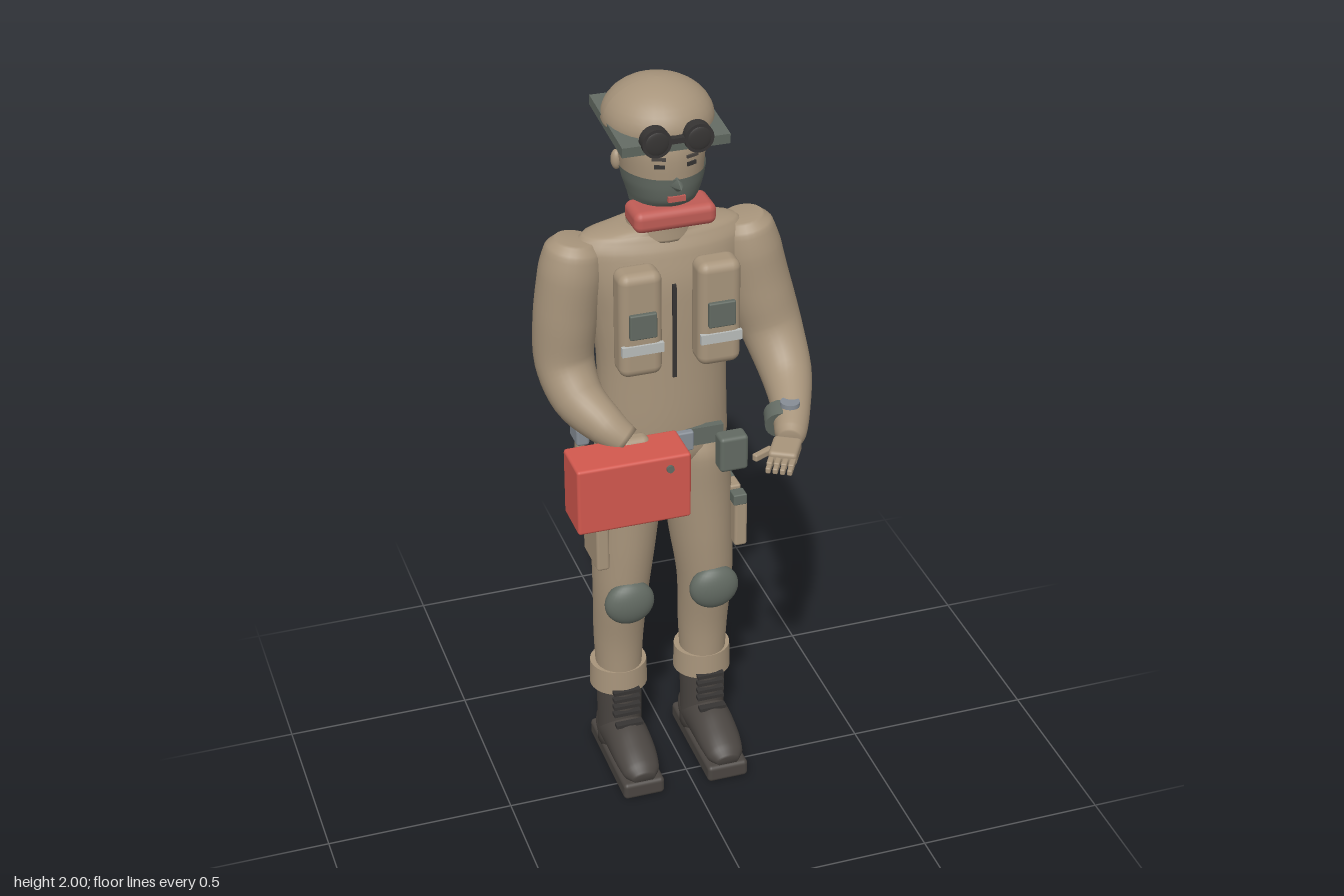
import * as THREE from 'three';
import { RoundedBoxGeometry } from 'three/addons/geometries/RoundedBoxGeometry.js';

const paint = (name, color, side = THREE.FrontSide) =>
  Object.assign(new THREE.MeshStandardMaterial({ color, side }), { name });

// Elliptical sections [x, y, z, rx, rz] swept along a smooth path; an arc under a full turn gives an open shell
function loft(pts, { level = false, arc = Math.PI * 2, steps = 5, seg = 28 } = {}) {
  const closed = arc > 6.28;
  const path = new THREE.CatmullRomCurve3(pts.map(p => new THREE.Vector3(p[0], p[1], p[2])));
  const size = new THREE.CatmullRomCurve3(pts.map(p => new THREE.Vector3(p[3], p[4] ?? p[3], 0)));
  const n = (pts.length - 1) * steps, cols = closed ? seg : seg + 1;
  const pos = [], idx = [];
  const ring = (t, k) => {
    const c = path.getPoint(t), r = size.getPoint(t);
    const T = level ? new THREE.Vector3(0, 1, 0) : path.getTangent(t);
    const U = new THREE.Vector3(1, 0, 0);
    U.addScaledVector(T, -T.x).normalize();
    const V = U.clone().cross(T);
    for (let j = 0; j < cols; j++) {
      const a = arc * j / seg;
      const p = c.clone().addScaledVector(U, Math.cos(a) * r.x * k).addScaledVector(V, Math.sin(a) * r.y * k);
      pos.push(p.x, p.y, p.z);
    }
  };
  if (closed) ring(0, 0);
  for (let i = 0; i <= n; i++) ring(i / n, 1);
  if (closed) ring(1, 0);
  const rows = pos.length / 3 / cols;
  for (let i = 0; i < rows - 1; i++) for (let j = 0; j < seg; j++) {
    const a = i * cols + j, b = i * cols + (j + 1) % cols;
    idx.push(a, a + cols, b, b, a + cols, b + cols);
  }
  const g = new THREE.BufferGeometry();
  g.setAttribute('position', new THREE.Float32BufferAttribute(pos, 3));
  g.setIndex(idx);
  g.computeVertexNormals();
  return g;
}

export function createModel() {
  const tan = paint('khaki cloth', 0xa7947b), green = paint('grey green', 0x626a62, THREE.DoubleSide),
    red = paint('case red', 0xd2584e), scarf = paint('scarf red', 0xbf5c55), boot = paint('boot brown', 0x4a4541),
    black = paint('black', 0x363433), silver = paint('silver', 0xb9bcba), steel = paint('blue steel', 0x868d95);
  const model = new THREE.Group(), body = new THREE.Group();
  body.name = 'body';
  body.position.x = -0.024;
  model.add(body);

  const add = (parent, name, geo, mat, x = 0, y = 0, z = 0) => {
    const m = new THREE.Mesh(geo, mat);
    m.name = name;
    m.position.set(x, y, z);
    parent.add(m);
    return m;
  };
  const box = (parent, name, mat, w, h, d, x, y, z, r = 0) =>
    add(parent, name, r ? new RoundedBoxGeometry(w, h, d, 3, r) : new THREE.BoxGeometry(w, h, d), mat, x, y, z);
  const ball = (parent, name, mat, rx, ry, rz, x, y, z) => {
    const m = add(parent, name, new THREE.SphereGeometry(1, 28, 18), mat, x, y, z);
    m.scale.set(rx, ry, rz);
    return m;
  };

  // Torso and collar
  add(body, 'torso', loft([
    [0, 0.93, -0.135, 0.09, 0.06], [0, 0.96, -0.135, 0.15, 0.098], [0, 1.01, -0.135, 0.177, 0.113],
    [0, 1.1, -0.13, 0.173, 0.112], [0, 1.25, -0.128, 0.17, 0.108], [0, 1.4, -0.128, 0.188, 0.106],
    [0, 1.5, -0.13, 0.21, 0.103], [0, 1.575, -0.137, 0.225, 0.093], [0, 1.612, -0.138, 0.2, 0.076],
    [0, 1.632, -0.137, 0.09, 0.073],
  ], { level: true }), tan);
  add(body, 'collar', loft([[0, 1.6, -0.135, 0.094, 0.08], [0, 1.63, -0.132, 0.087, 0.076], [0, 1.66, -0.13, 0.083, 0.074]], { level: true }), tan);
  box(body, 'zip', black, 0.01, 0.26, 0.008, 0, 1.37, -0.021);

  // Head
  add(body, 'head', loft([
    [0, 1.62, -0.13, 0.076, 0.068], [0, 1.69, -0.125, 0.076, 0.07], [0, 1.72, -0.118, 0.084, 0.1],
    [0, 1.78, -0.122, 0.102, 0.119], [0, 1.85, -0.125, 0.108, 0.124], [0, 1.91, -0.13, 0.098, 0.115],
  ], { level: true }), tan);
  add(body, 'face mask', loft([
    [0, 1.7, -0.122, 0.083, 0.088], [0, 1.73, -0.119, 0.091, 0.111], [0, 1.765, -0.12, 0.102, 0.121], [0, 1.795, -0.122, 0.108, 0.126],
  ], { level: true, arc: Math.PI }), green);
  add(body, 'nose', new THREE.ConeGeometry(0.026, 0.05, 4), green, 0, 1.78, 0.01).rotation.x = Math.PI / 2;
  box(body, 'mouth', scarf, 0.044, 0.014, 0.012, 0, 1.743, -0.003);
  for (const s of [-1, 1]) {
    box(body, 'eye', black, 0.026, 0.01, 0.008, s * 0.04, 1.828, -0.011).rotation.y = s * 0.35;
    box(body, 'eyebrow', boot, 0.034, 0.007, 0.008, s * 0.042, 1.848, -0.01).rotation.y = s * 0.35;
    ball(body, 'ear', tan, 0.014, 0.026, 0.015, s * 0.107, 1.8, -0.145);
  }
  box(body, 'neckerchief', scarf, 0.21, 0.056, 0.105, 0, 1.686, -0.05, 0.02);

  // Cap with square brim, goggles and rear clip
  const dome = new THREE.SphereGeometry(1, 32, 20), dp = dome.attributes.position;
  for (let i = 0; i < dp.count; i++) if (dp.getY(i) < 0) dp.setY(i, dp.getY(i) * 0.4);
  dome.computeVertexNormals();
  add(body, 'cap', dome, tan, 0, 1.9, -0.15).scale.set(0.139, 0.1, 0.145);
  box(body, 'brim', green, 0.272, 0.026, 0.27, 0, 1.895, -0.135).rotation.x = 0.1;
  for (const s of [-1, 1]) {
    add(body, 'goggle rim', new THREE.CylinderGeometry(0.037, 0.037, 0.03, 24), black, s * 0.053, 1.9, -0.001).rotation.x = Math.PI / 2;
    ball(body, 'goggle lens', black, 0.031, 0.031, 0.006, s * 0.053, 1.9, 0.012);
  }
  box(body, 'goggle bridge', black, 0.05, 0.014, 0.026, 0, 1.9, -0.001);
  box(body, 'rear clip', tan, 0.068, 0.08, 0.05, 0, 1.88, -0.28, 0.014);

  // Chest pouches
  for (const s of [-1, 1]) {
    const x = s * 0.102;
    box(body, 'chest pouch', tan, 0.112, 0.285, 0.08, x, 1.428, 0.0, 0.025);
    box(body, 'pouch patch', green, 0.07, 0.068, 0.014, x, 1.435, 0.045, 0.004);
    box(body, 'pouch stripe', silver, 0.108, 0.026, 0.012, x, 1.368, 0.04);
  }

  // Backpack
  box(body, 'backpack', tan, 0.335, 0.245, 0.085, 0, 1.423, -0.262, 0.025);
  box(body, 'backpack flap', tan, 0.11, 0.04, 0.012, 0, 1.49, -0.307, 0.004);

  // Belt, standing clear of the back, and the gear hung from it
  add(body, 'belt', loft([[0, 1.017, -0.157, 0.165, 0.136], [0, 1.05, -0.157, 0.165, 0.137], [0, 1.085, -0.157, 0.165, 0.138]], { level: true }), green);
  box(body, 'buckle', steel, 0.06, 0.055, 0.02, 0.015, 1.055, -0.008, 0.005);
  box(body, 'front belt', green, 0.1, 0.05, 0.02, 0.08, 1.055, -0.025);
  box(body, 'front pouch', green, 0.076, 0.1, 0.05, 0.14, 1.02, 0.02, 0.01);
  for (const s of [-1, 1]) {
    box(body, 'belt loop', tan, 0.014, 0.075, 0.012, s * 0.04, 1.05, -0.291);
    box(body, 'hip pouch', tan, 0.085, 0.105, 0.025, s * 0.1, 0.968, -0.246, 0.006);
  }
  box(body, 'tool handle', tan, 0.022, 0.28, 0.026, -0.213, 0.88, -0.16, 0.005);
  box(body, 'tool head', steel, 0.035, 0.05, 0.07, -0.212, 1.04, -0.16, 0.008);

  // Legs and boots
  for (const s of [-1, 1]) {
    const leg = new THREE.Group();
    leg.name = s > 0 ? 'leftLeg' : 'rightLeg';
    body.add(leg);
    const x = s * 0.12;
    add(leg, 'trouser leg', loft([
      [x, 0.25, -0.15, 0.06, 0.065], [x, 0.4, -0.148, 0.067, 0.074], [s * 0.118, 0.56, -0.128, 0.074, 0.083],
      [s * 0.108, 0.7, -0.132, 0.084, 0.098], [s * 0.097, 0.85, -0.136, 0.091, 0.107],
      [s * 0.09, 0.97, -0.135, 0.088, 0.112], [s * 0.085, 1.04, -0.135, 0.075, 0.09],
    ], { level: true }), tan);
    ball(leg, 'knee pad', green, 0.068, 0.064, 0.036, s * 0.118, 0.56, -0.048);
    box(leg, 'thigh pocket', tan, 0.035, 0.135, 0.125, s * 0.19, 0.748, -0.1, 0.008);
    box(leg, 'pocket flap', tan, 0.03, 0.045, 0.05, s * 0.187, 0.825, -0.1, 0.006);
    for (const z of [-0.055, -0.147]) box(leg, 'pocket strap', green, 0.037, 0.032, 0.036, s * 0.187, 0.824, z, 0.004);
    const cuff = add(leg, 'trouser cuff', new THREE.CylinderGeometry(0.077, 0.079, 0.072, 28), tan, x, 0.273, -0.154);
    cuff.scale.z = 0.97;
    add(leg, 'boot shaft', loft([[x, 0.04, -0.152, 0.06, 0.072], [x, 0.15, -0.15, 0.06, 0.07], [x, 0.26, -0.15, 0.062, 0.07]], { level: true }), boot);
    add(leg, 'boot foot', loft([
      [x, 0.07, -0.225, 0.045, 0.04], [x, 0.08, -0.17, 0.06, 0.06], [x, 0.09, -0.08, 0.06, 0.064],
      [x, 0.08, 0, 0.058, 0.048], [x, 0.067, 0.05, 0.05, 0.035], [x, 0.06, 0.075, 0.03, 0.018],
    ]), boot);
    box(leg, 'sole', boot, 0.115, 0.05, 0.325, x, 0.026, -0.083, 0.012);
    for (let i = 0; i < 5; i++) box(leg, 'lace', black, 0.075, 0.01, 0.02, x, 0.15 + i * 0.024, -0.08 + (i ? 0 : 0.02));
  }

  // Left arm, held forward with an open hand
  add(model, 'leftArm', loft([
    [0.194, 1.606, -0.137, 0.05], [0.198, 1.58, -0.137, 0.073], [0.21, 1.51, -0.135, 0.085], [0.235, 1.4, -0.128, 0.086],
    [0.265, 1.29, -0.105, 0.08], [0.276, 1.2, -0.025, 0.067], [0.252, 1.155, 0.08, 0.05], [0.222, 1.13, 0.16, 0.04],
    [0.21, 1.125, 0.185, 0.03],
  ]), tan);
  const band = add(model, 'wrist band', new THREE.CylinderGeometry(0.045, 0.048, 0.045, 20), green, 0.222, 1.138, 0.102);
  band.quaternion.setFromUnitVectors(new THREE.Vector3(0, 1, 0), new THREE.Vector3(-0.028, -0.025, 0.08).normalize());
  add(model, 'wrist dial', new THREE.CylinderGeometry(0.025, 0.025, 0.012, 16), steel, 0.236, 1.189, 0.115);
  const hand = new THREE.Group();
  hand.name = 'leftHand';
  hand.position.set(0.185, 1.12, 0.22);
  hand.rotation.set(0, -0.53, 0);
  model.add(hand);
  box(hand, 'palm', tan, 0.072, 0.036, 0.088, 0, 0, 0, 0.01);
  for (let i = 0; i < 4; i++) {
    const x = -0.027 + i * 0.018;
    box(hand, 'finger', tan, 0.015, 0.018, 0.04, x, -0.004, 0.052, 0.004);
    box(hand, 'fingertip', tan, 0.013, 0.016, 0.026, x, -0.008, 0.078, 0.004);
  }
  box(hand, 'thumb', tan, 0.017, 0.02, 0.062, -0.052, -0.002, 0.022, 0.005).rotation.y = -0.6;

  // Right arm, reaching in to the case
  add(model, 'rightArm', loft([
    [-0.242, 1.606, -0.137, 0.05], [-0.246, 1.58, -0.137, 0.073], [-0.256, 1.51, -0.138, 0.083], [-0.27, 1.4, -0.142, 0.082],
    [-0.277, 1.27, -0.138, 0.076], [-0.26, 1.19, -0.08, 0.067], [-0.21, 1.14, -0.005, 0.052], [-0.165, 1.105, 0.03, 0.038],
  ]), tan);
  box(model, 'rightHand', tan, 0.08, 0.06, 0.05, -0.15, 1.09, 0.033, 0.02);

  // Carrying case
  box(model, 'case', red, 0.297, 0.186, 0.125, -0.182, 1.017, 0.08, 0.008);
  add(model, 'case catch', new THREE.CylinderGeometry(0.01, 0.01, 0.01, 12), green, -0.09, 1.077, 0.145).rotation.x = Math.PI / 2;
  return model;
}
